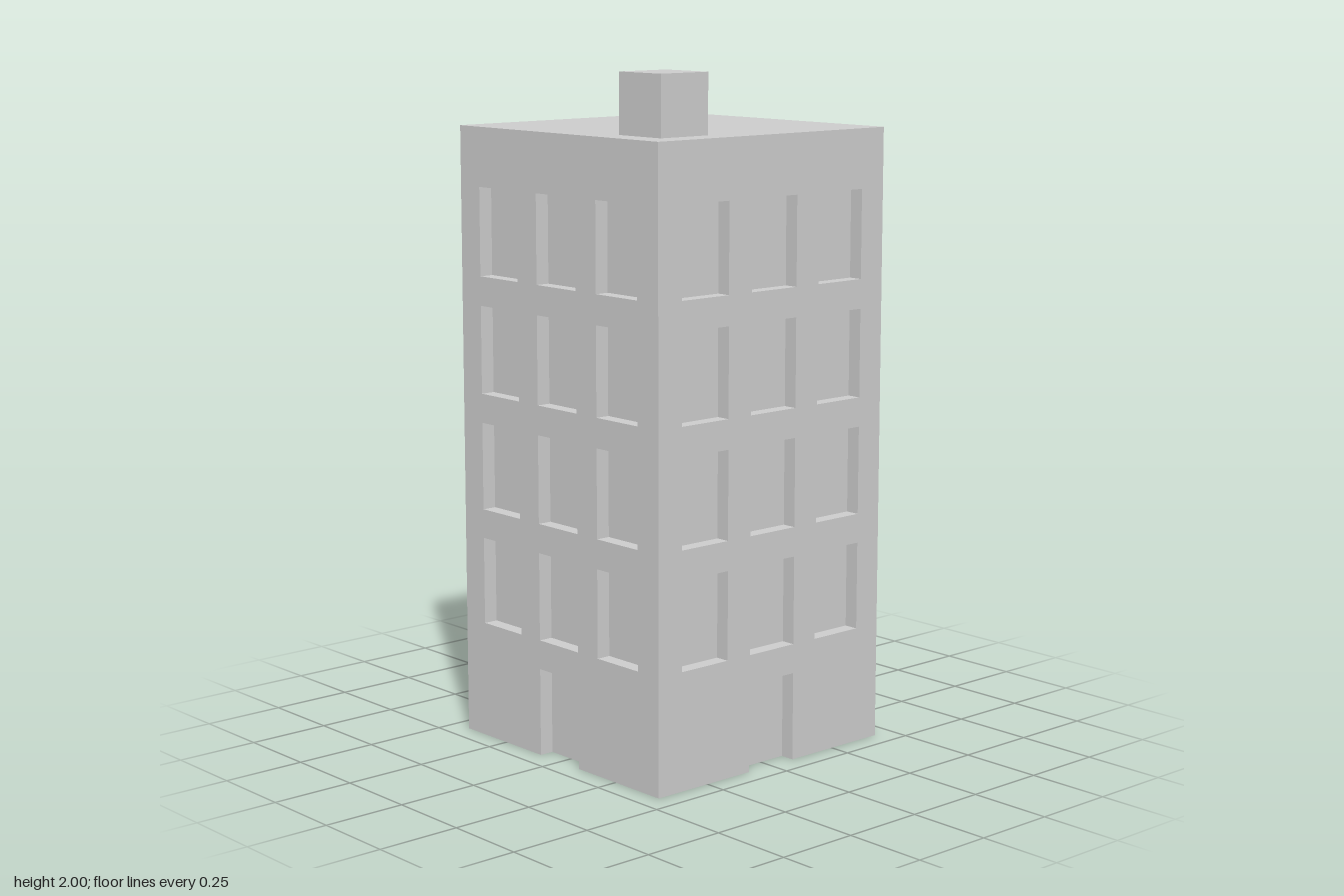
import * as THREE from 'three';
import { mergeGeometries } from 'three/addons/utils/BufferGeometryUtils.js';

const U = 2 / 23;         // building module: everything is a multiple of it
const HALF = 5 * U;       // half the width of the tower
const HEIGHT = 21 * U;    // roof level
const DEPTH = 0.5 * U;    // depth of windows and doors
const OPEN_W = 2 * U, OPEN_H = 3 * U;

const material = new THREE.MeshStandardMaterial({ color: 0xcccccc, flatShading: true });

function add(parent, name, geometry, x = 0, y = 0, z = 0) {
  const mesh = new THREE.Mesh(geometry, material);
  mesh.name = name;
  mesh.position.set(x, y, z);
  parent.add(mesh);
  return mesh;
}

// Box given by its low and high corner, in modules
function addBlock(parent, name, [x0, y0, z0], [x1, y1, z1]) {
  const geometry = new THREE.BoxGeometry((x1 - x0) * U, (y1 - y0) * U, (z1 - z0) * U);
  return add(parent, name, geometry, (x0 + x1) / 2 * U, (y0 + y1) / 2 * U, (z0 + z1) / 2 * U);
}

// Back panel and reveals of an opening; origin at bottom centre of the wall surface
function recess(hasSill) {
  const w = OPEN_W, h = OPEN_H, d = DEPTH;
  const parts = [
    new THREE.PlaneGeometry(w, h).translate(0, h / 2, -d),
    new THREE.PlaneGeometry(w, d).rotateX(Math.PI / 2).translate(0, h, -d / 2),
    new THREE.PlaneGeometry(d, h).rotateY(Math.PI / 2).translate(-w / 2, h / 2, -d / 2),
    new THREE.PlaneGeometry(d, h).rotateY(-Math.PI / 2).translate(w / 2, h / 2, -d / 2),
  ];
  if (hasSill) parts.push(new THREE.PlaneGeometry(w, d).rotateX(-Math.PI / 2).translate(0, 0, -d / 2));
  return mergeGeometries(parts);
}

// One side of the tower: four rows of three windows above a central door
function createFacade() {
  const facade = new THREE.Group();
  const a = OPEN_W / 2;
  const wall = new THREE.Shape([
    [-HALF, 0], [-a, 0], [-a, OPEN_H], [a, OPEN_H], [a, 0],
    [HALF, 0], [HALF, HEIGHT], [-HALF, HEIGHT],
  ].map(([x, y]) => new THREE.Vector2(x, y)));

  const windowGeometry = recess(true);
  for (let floor = 1; floor <= 4; floor++) {
    for (let column = -1; column <= 1; column++) {
      const x = column * 3 * U, y = floor * 4 * U;
      wall.holes.push(new THREE.Path([
        [x - a, y], [x - a, y + OPEN_H], [x + a, y + OPEN_H], [x + a, y],
      ].map(([px, py]) => new THREE.Vector2(px, py))));
      add(facade, 'window', windowGeometry, x, y, HALF);
    }
  }
  add(facade, 'wall', new THREE.ShapeGeometry(wall), 0, 0, HALF);
  add(facade, 'door', recess(false), 0, 0, HALF);
  return facade;
}

// Underside, notched at each door
function floorGeometry() {
  const points = [];
  for (let side = 0; side < 4; side++) {
    for (const [x, y] of [[-5, -5], [-1, -5], [-1, -4.5], [1, -4.5], [1, -5]]) {
      points.push(new THREE.Vector2(x * U, y * U)
        .rotateAround(new THREE.Vector2(), side * Math.PI / 2));
    }
  }
  return new THREE.ShapeGeometry(new THREE.Shape(points)).rotateX(Math.PI / 2);
}

export function createModel() {
  const model = new THREE.Group();
  model.name = 'apartmentBuilding';

  // Four identical sides
  ['front', 'left', 'back', 'right'].forEach((side, i) => {
    const facade = createFacade();
    facade.name = side + 'Facade';
    facade.rotation.y = i * Math.PI / 2;
    model.add(facade);
  });

  add(model, 'roof', new THREE.PlaneGeometry(2 * HALF, 2 * HALF).rotateX(-Math.PI / 2), 0, HEIGHT, 0);
  add(model, 'floor', floorGeometry());

  // Rooftop unit with a thin duct bending down to the roof
  addBlock(model, 'rooftopUnit', [-4, 21, 2], [-2, 23, 4]);
  const duct = new THREE.Group();
  duct.name = 'duct';
  addBlock(duct, 'ductArm', [-2, 22.5, 2], [-1, 22.63, 2.3]);
  addBlock(duct, 'ductLeg', [-1, 21, 2], [-0.87, 22.63, 2.3]);
  model.add(duct);

  return model;
}
